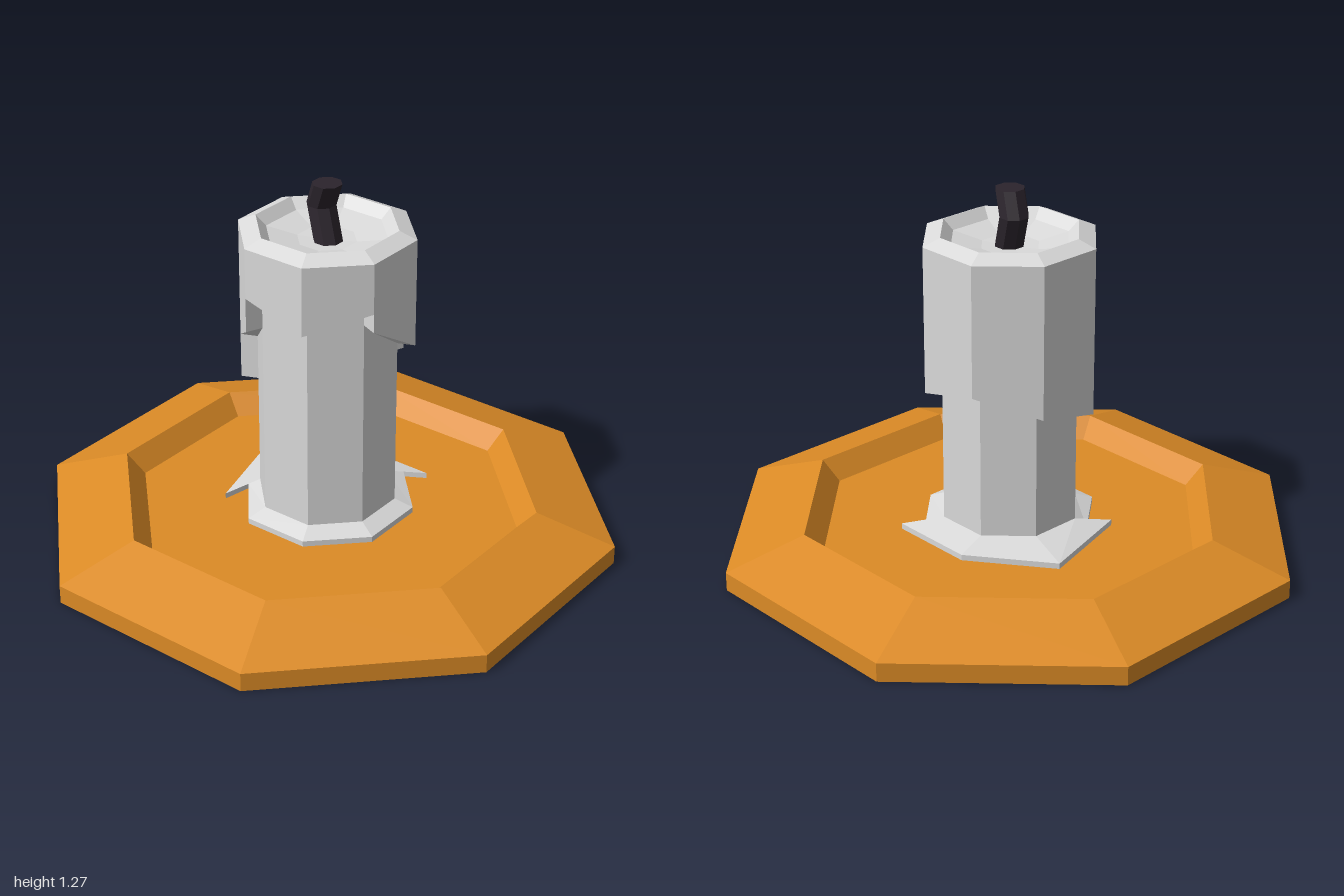
import * as THREE from 'three';

// Flat quads, corners counter-clockwise seen from outside
function quadGeometry(quads) {
  const pos = [];
  for (const [a, b, c, d] of quads) pos.push(...a, ...b, ...c, ...a, ...c, ...d);
  const g = new THREE.BufferGeometry();
  g.setAttribute('position', new THREE.Float32BufferAttribute(pos, 3));
  g.computeVertexNormals();
  return g;
}

// Eight-sided turned shape with corners on the axes
function octLathe(profile) {
  const g = new THREE.LatheGeometry(profile.map(([r, y]) => new THREE.Vector2(r, y)), 8).toNonIndexed();
  g.computeVertexNormals();
  return g;
}

const corner = (i, r, y) => {
  const a = (i * Math.PI) / 4;
  return [Math.sin(a) * r, y, Math.cos(a) * r];
};

export function createModel() {
  const group = new THREE.Group();
  const brass = new THREE.MeshStandardMaterial({ color: 0xdc8b26, flatShading: true });
  brass.name = 'orange plate';
  const wax = new THREE.MeshStandardMaterial({ color: 0xdadada, flatShading: true, side: THREE.DoubleSide });
  wax.name = 'pale wax';
  const char = new THREE.MeshStandardMaterial({ color: 0x2b242c, flatShading: true });
  char.name = 'dark wick';

  const add = (name, geometry, material) => {
    const mesh = new THREE.Mesh(geometry, material);
    mesh.name = name;
    group.add(mesh);
    return mesh;
  };

  // Dished plate
  const floor = 0.085;
  add('plate', octLathe([[0, 0], [1, 0], [1, 0.065], [0.73, 0.155], [0.665, floor], [0, floor]]), brass);

  // Candle body
  const body = new THREE.CylinderGeometry(0.24, 0.24, 1.0 - floor, 8, 1, true);
  body.translate(0, (1.0 + floor) / 2, 0);
  add('candleBody', body, wax);

  // Bevelled rim and melted hollow
  const rimY = 1.11;
  add('candleTop', octLathe([[0.3, rimY], [0.24, 1.135], [0.205, 1.1], [0.1, 1.08], [0, 1.075]]), wax);

  // Dripping collar: bottom heights at both ends of each side, from the front round by +x
  const drips = [
    [0.87, 0.73], [0.73, 0.8], [0.6, 0.655], [0.655, 0.58],
    [0.58, 0.53], [0.69, 0.815], [0.935, 0.87], [0.87, 0.935],
  ];
  const collar = [];
  drips.forEach(([h0, h1], i) => {
    const j = i + 1;
    collar.push([corner(i, 0.3, h0), corner(j, 0.3, h1), corner(j, 0.3, rimY), corner(i, 0.3, rimY)]);
    collar.push([corner(i, 0.3, h0), corner(i, 0.24, h0), corner(j, 0.24, h1), corner(j, 0.3, h1)]);
    // step where neighbouring drips end at different heights
    const next = drips[j % 8][0];
    if (next !== h1) {
      const step = [corner(j, 0.3, h1), corner(j, 0.24, h1), corner(j, 0.24, next), corner(j, 0.3, next)];
      collar.push(next < h1 ? step.reverse() : step);
    }
  });
  add('waxDrips', quadGeometry(collar), wax);

  // Wax puddle around the foot, outline as [x, z]
  const outline = [
    [0, 0.305], [0.215, 0.215], [0.31, 0], [0.375, 0.05], [0.26, -0.23],
    [-0.02, -0.4], [-0.3, -0.18], [-0.2, -0.2], [-0.305, 0], [-0.215, 0.215],
  ];
  // inner corners follow the candle sides
  const innerCorner = [0, 1, 2, 2, 3, 4, 5, 5, 6, 7];
  const puddle = [];
  outline.forEach(([x0, z0], i) => {
    const j = (i + 1) % outline.length;
    const [x1, z1] = outline[j];
    const t0 = [x0, 0.105, z0], t1 = [x1, 0.105, z1];
    puddle.push([[x0, floor, z0], [x1, floor, z1], t1, t0]);
    puddle.push([t0, t1, corner(innerCorner[j], 0.24, 0.13), corner(innerCorner[i], 0.24, 0.13)]);
  });
  add('waxPuddle', quadGeometry(puddle), wax);

  // Bent wick: slide each ring along z
  const wick = new THREE.CylinderGeometry(0.05, 0.05, 0.2, 8, 2);
  const p = wick.attributes.position;
  for (let i = 0; i < p.count; i++) {
    const ring = Math.round((p.getY(i) + 0.1) / 0.1);
    p.setY(i, [1.06, 1.19, 1.275][ring]);
    p.setZ(i, p.getZ(i) + [0.015, -0.035, 0.003][ring]);
  }
  wick.computeVertexNormals();
  add('wick', wick, char);

  return group;
}
